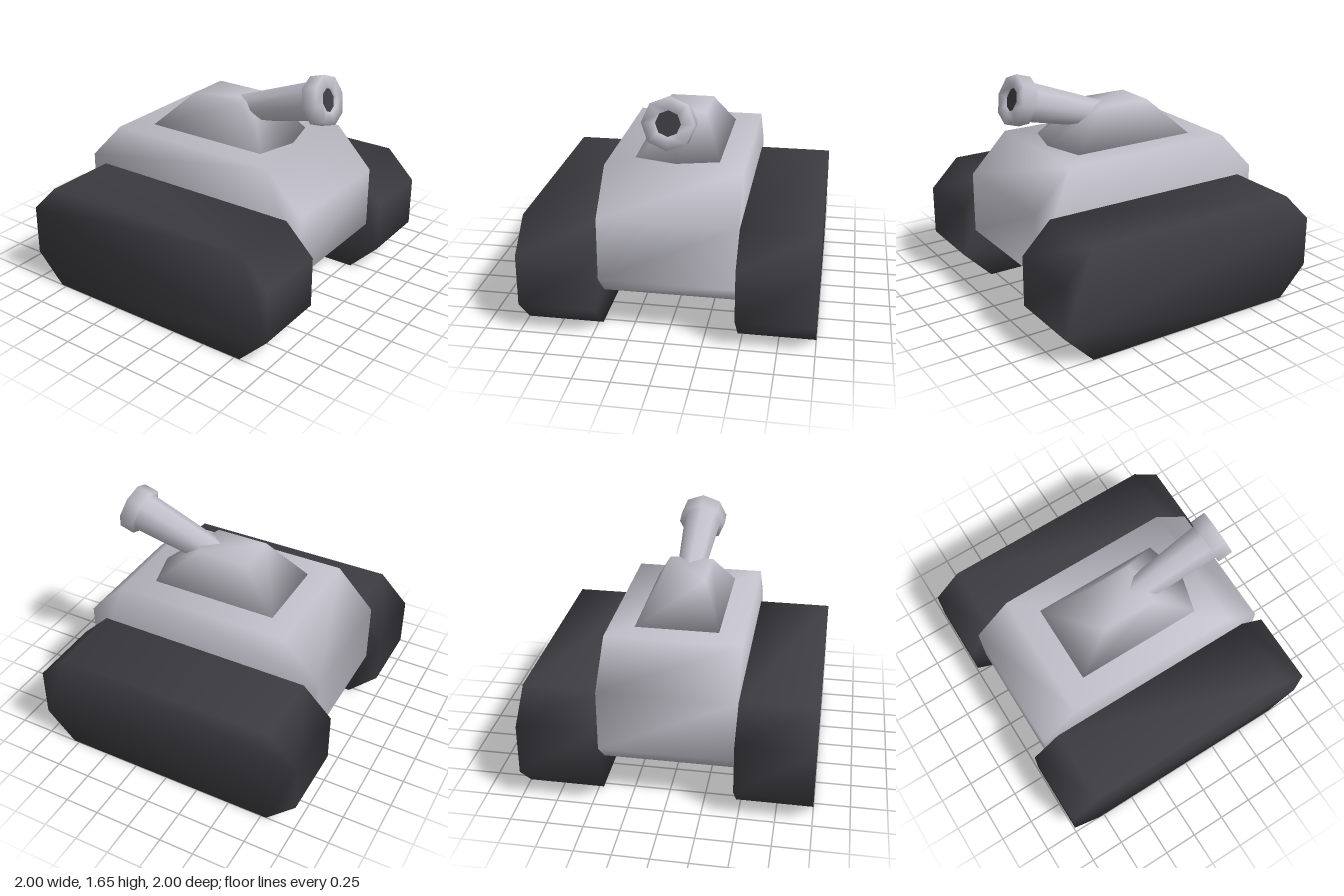
import * as THREE from 'three';
import { mergeVertices } from 'three/addons/utils/BufferGeometryUtils.js';

// Weld all corners so the shading runs smoothly over the edges
function smooth(geometry) {
  geometry.deleteAttribute('uv');
  geometry.deleteAttribute('normal');
  const welded = mergeVertices(geometry, 1e-4);
  welded.computeVertexNormals();
  return welded;
}

// Side profile of [z, y] points, extruded across x and centred
function sidePrism(profile, width) {
  const shape = new THREE.Shape(profile.map(([z, y]) => new THREE.Vector2(-z, y)));
  const geometry = new THREE.ExtrudeGeometry(shape, { depth: width, bevelEnabled: false });
  geometry.translate(0, 0, -width / 2);
  geometry.rotateY(Math.PI / 2);
  return smooth(geometry);
}

// Complete a front half profile by mirroring it to the back
function mirrored(half) {
  return [...half, ...half.map(([z, y]) => [-z, y]).reverse()];
}

// Turret: two five-cornered loops, with a shallow ridge down the front
function turretGeometry() {
  const loop = (x, y, z, nose) => [[-x, y, -z], [-x, y, z], [0, y, nose], [x, y, z], [x, y, -z]];
  const points = [...loop(0.295, 1.1, 0.47, 0.55), ...loop(0.155, 1.37, 0.19, 0.2)];
  const index = [];
  for (let i = 0; i < 5; i++) {
    const j = (i + 1) % 5;
    index.push(i, j, j + 5, i, j + 5, i + 5);
  }
  for (let i = 1; i < 4; i++) index.push(5, 5 + i, 6 + i, 0, i + 1, i);
  const geometry = new THREE.BufferGeometry();
  geometry.setAttribute('position', new THREE.Float32BufferAttribute(points.flat(), 3));
  geometry.setIndex(index);
  geometry.computeVertexNormals();
  return geometry;
}

export function createModel() {
  const model = new THREE.Group();
  model.name = 'tank';
  const armour = new THREE.MeshStandardMaterial({ name: 'paleGrey', color: 0xc2c1cb });
  const dark = new THREE.MeshStandardMaterial({ name: 'charcoal', color: 0x3d3c41 });

  const add = (parent, name, geometry, material) => {
    const mesh = new THREE.Mesh(geometry, material);
    mesh.name = name;
    parent.add(mesh);
    return mesh;
  };

  // Hull and turret
  const hullProfile = mirrored([[0.74, 0.23], [0.9, 0.39], [0.9, 0.83], [0.63, 1.11]]);
  add(model, 'hull', sidePrism(hullProfile, 0.936), armour);
  add(model, 'turret', turretGeometry(), armour);

  // Tracks
  const trackProfile = mirrored([[0.79, 0], [1, 0.21], [1, 0.57], [0.79, 0.78]]);
  for (const side of [-1, 1]) {
    const track = add(model, side > 0 ? 'leftTrack' : 'rightTrack', sidePrism(trackProfile, 0.532), dark);
    track.position.x = side * 0.734;
  }

  // Cannon, tilted up, its muzzle at the top of the lathe axis
  const cannon = new THREE.Group();
  cannon.name = 'cannon';
  const profile = [
    [0.095, -0.75], [0.138, -0.11], [0.173, -0.11],
    [0.173, 0], [0.085, 0], [0.085, -0.04],
  ].map(([r, y]) => new THREE.Vector2(r, y));
  add(cannon, 'barrel', new THREE.LatheGeometry(profile, 8), armour);
  const bore = add(cannon, 'bore', new THREE.CircleGeometry(0.085, 8), dark);
  bore.rotation.x = -Math.PI / 2;
  bore.position.y = -0.02;
  cannon.rotation.x = Math.atan2(0.957, 0.29);
  cannon.position.set(0, 1.485, 0.81);
  model.add(cannon);

  return model;
}
